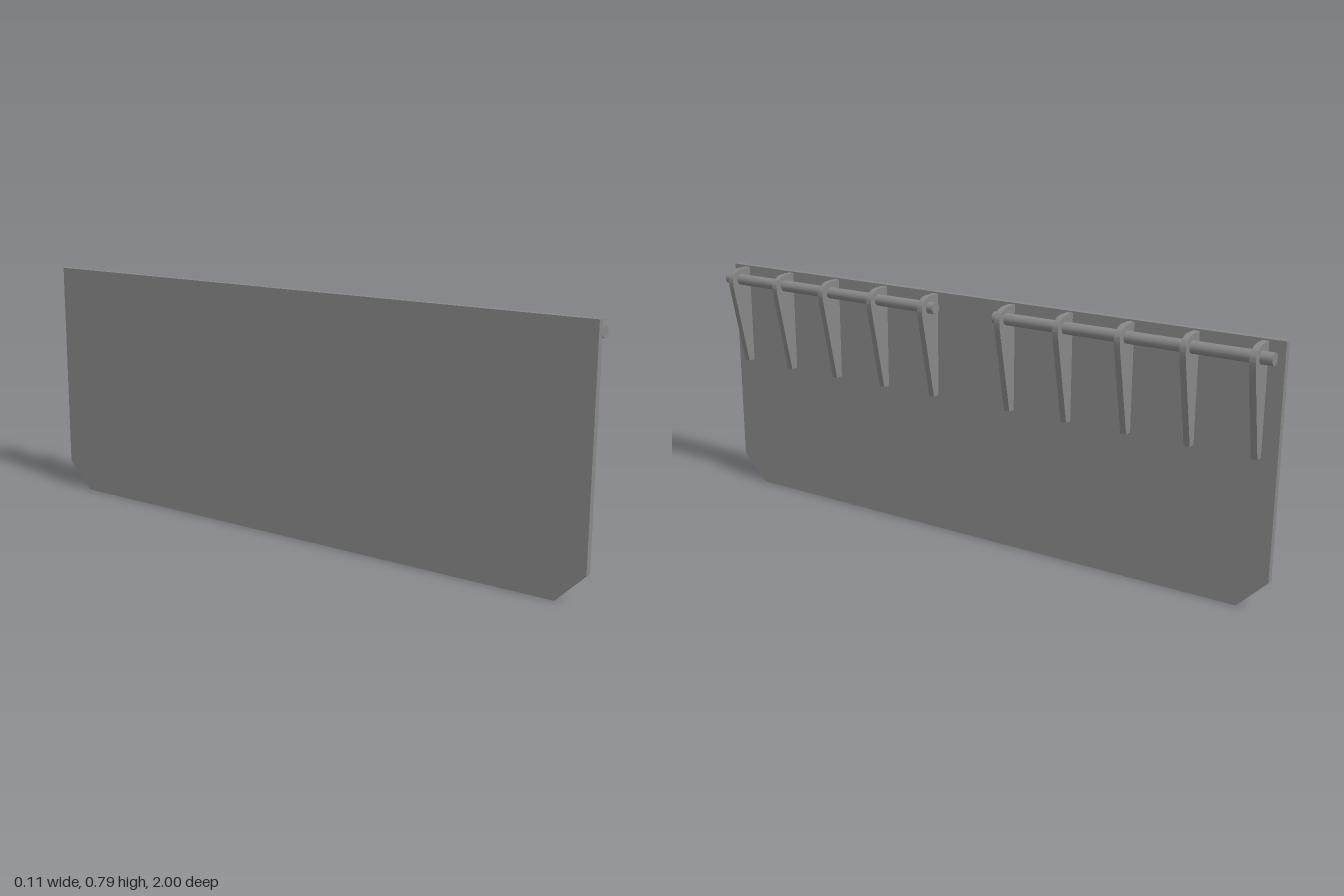
import * as THREE from 'three';
import { toCreasedNormals } from 'three/addons/utils/BufferGeometryUtils.js';

const material = new THREE.MeshStandardMaterial({ color: 0x888888 });

const HEIGHT = 0.788, CHAMFER = 0.092;
const PLATE_BACK = -0.0535, PLATE_FACE = -0.031;
const LUG_THICKNESS = 0.019;
const ROD = { x: 0.0135, y: 0.747, radius: 0.0183, inner: 0.109, outer: 0.988 };

function addMesh(parent, name, geometry, x, y, z) {
  const mesh = new THREE.Mesh(geometry, material);
  mesh.name = name;
  mesh.position.set(x, y, z);
  parent.add(mesh);
}

// Flat board with its two lower corners cut off, drawn in z-y and extruded along x
function plateGeometry() {
  const shape = new THREE.Shape([
    [-1, HEIGHT], [-1, CHAMFER], [-1 + CHAMFER, 0],
    [1 - CHAMFER, 0], [1, CHAMFER], [1, HEIGHT],
  ].map(([z, y]) => new THREE.Vector2(z, y)));
  return new THREE.ExtrudeGeometry(shape, {
    depth: PLATE_FACE - PLATE_BACK, bevelEnabled: false,
  }).rotateY(-Math.PI / 2);
}

// Tapered lug with a rounded nose, drawn in x-y and centred on its thickness
function lugGeometry() {
  const shape = new THREE.Shape();
  shape.moveTo(PLATE_FACE, 0.454);
  shape.lineTo(-0.0065, 0.454);
  shape.lineTo(0.0475, 0.705);
  shape.quadraticCurveTo(0.052, 0.725, 0.0535, 0.742);
  shape.bezierCurveTo(0.0535, 0.767, 0.033, 0.783, 0.002, 0.783);
  shape.lineTo(PLATE_FACE, 0.783);
  shape.closePath();
  const geometry = new THREE.ExtrudeGeometry(shape, {
    depth: LUG_THICKNESS, bevelEnabled: false, curveSegments: 10,
  }).translate(0, 0, -LUG_THICKNESS / 2);
  return toCreasedNormals(geometry, Math.PI / 6);
}

export function createModel() {
  const model = new THREE.Group();
  model.name = 'hingedPlate';

  addMesh(model, 'plate', plateGeometry(), PLATE_FACE, 0, 0);

  const lug = lugGeometry();
  const rod = new THREE.CylinderGeometry(
    ROD.radius, ROD.radius, ROD.outer - ROD.inner, 32).rotateX(Math.PI / 2);

  // Each half carries one hinge rod through five evenly spaced lugs
  for (const side of [1, -1]) {
    const hinge = new THREE.Group();
    hinge.name = side > 0 ? 'frontHinge' : 'backHinge';
    addMesh(hinge, 'hingeRod', rod, ROD.x, ROD.y, side * (ROD.inner + ROD.outer) / 2);
    for (let i = 0; i < 5; i++) {
      addMesh(hinge, 'lug', lug, 0, 0, side * (0.142 + i * 0.2));
    }
    model.add(hinge);
  }
  return model;
}
